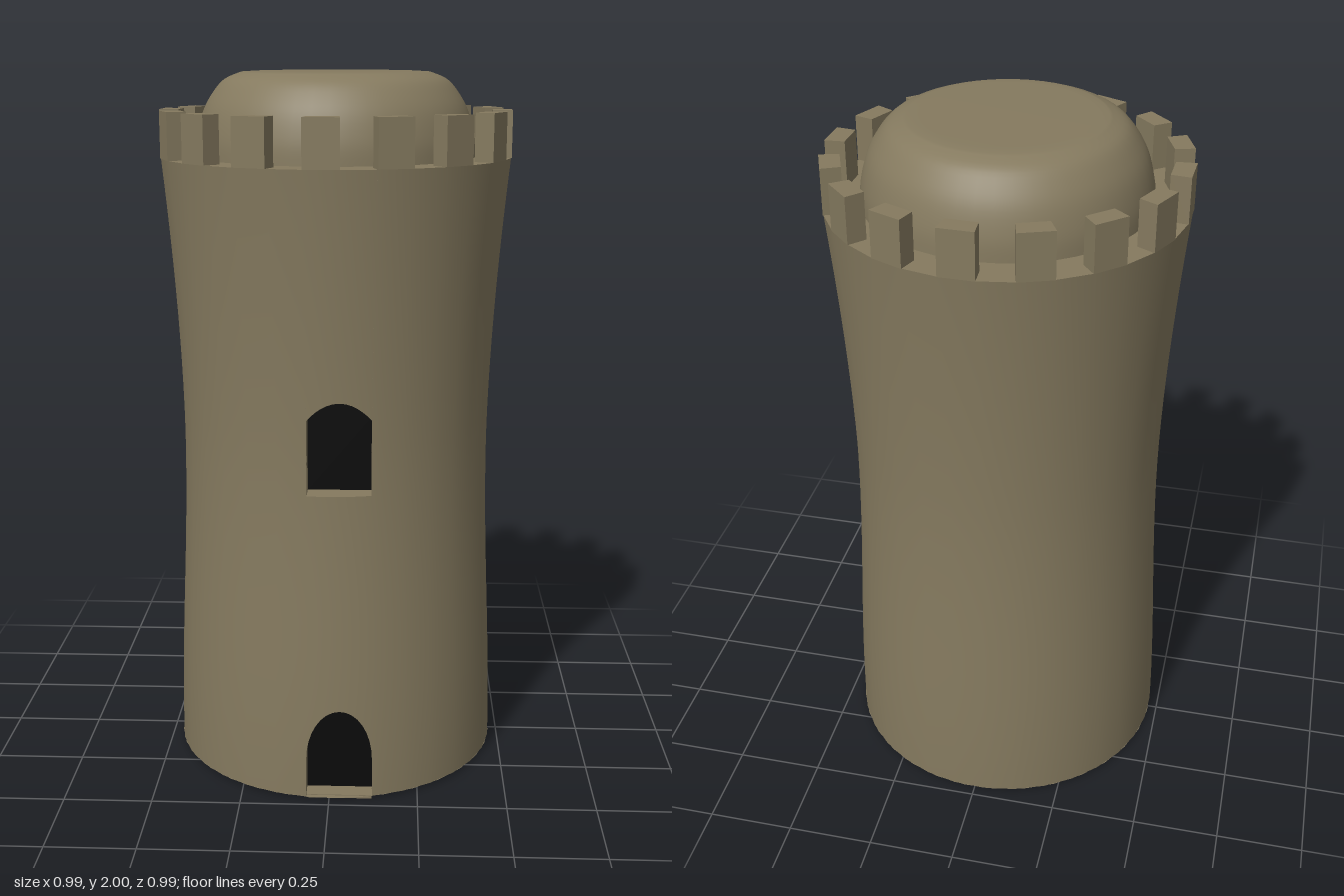
import * as THREE from 'three';

const SIDES = 32, STEP = (Math.PI * 2) / SIDES, TURN = -0.035;
const BASE = 0.008, DECK = 1.765;
const MID = 0.061, HALF = 0.197; // angular centre and half-width of the openings

// Waisted outline of the tower wall
function radius(y) {
  if (y < 0.95) return 0.461 + 0.014 * Math.cos((Math.PI * y) / 0.95);
  return 0.447 + 0.049 * Math.pow((y - 0.95) / 0.815, 1.7);
}
const onWall = (a, y) => [radius(y) * Math.sin(a), y, radius(y) * Math.cos(a)];

// Grid from rows of points; corners ordered so the front faces outward
function gridGeometry(columns, normals) {
  const pos = columns.flat(2), index = [], rows = columns[0].length;
  for (let i = 0; i < columns.length - 1; i++) {
    for (let j = 0; j < rows - 1; j++) {
      const a = i * rows + j, b = a + rows;
      index.push(a, b, b + 1, a, b + 1, a + 1);
    }
  }
  const g = new THREE.BufferGeometry();
  g.setAttribute('position', new THREE.Float32BufferAttribute(pos, 3));
  g.setIndex(index);
  if (!normals) {
    const flat = g.toNonIndexed();
    flat.computeVertexNormals();
    return flat;
  }
  g.setAttribute('normal', new THREE.Float32BufferAttribute(normals.flat(), 3));
  return g;
}

// Curved piece of wall between two heights that may vary with the angle
function wallGeometry(angles, low, high) {
  const rows = 24, normals = [];
  const columns = angles.map((a) => {
    const column = [];
    for (let j = 0; j <= rows; j++) {
      const y = THREE.MathUtils.lerp(low(a), high(a), j / rows);
      const slope = (radius(y + 0.005) - radius(y - 0.005)) / 0.01;
      const n = new THREE.Vector3(Math.sin(a), -slope, Math.cos(a)).normalize();
      column.push(onWall(a, y));
      normals.push(n.toArray());
    }
    return column;
  });
  return gridGeometry(columns, normals);
}

export function createModel() {
  const tower = new THREE.Group();
  tower.name = 'tower';
  const stone = new THREE.MeshStandardMaterial({ color: 0x857a5f, side: THREE.DoubleSide });
  stone.name = 'stone';
  const dark = new THREE.MeshStandardMaterial({ color: 0x0a0a0a });
  dark.name = 'dark opening';
  const add = (name, geometry, material = stone, parent = tower) => {
    const mesh = new THREE.Mesh(geometry, material);
    mesh.name = name;
    parent.add(mesh);
    return mesh;
  };

  // Arch heights across the openings
  const across = (a) => THREE.MathUtils.clamp((a - MID) / HALF, -1, 1);
  const doorTop = (a) => 0.12 + 0.15 * Math.sqrt(1 - across(a) ** 2);
  const windowTop = (a) => 1.1 + 0.05 * (1 - across(a) ** 2);
  const sill = 0.89;

  // Wall: the full round, then the pieces above the door and window
  const round = [MID + HALF];
  for (let k = 0; k <= SIDES * 2; k++) {
    const a = TURN + STEP * (k + 0.5);
    if (a > MID + HALF + 0.01 && a < MID - HALF + Math.PI * 2 - 0.01) round.push(a);
  }
  round.push(MID - HALF + Math.PI * 2);
  const gap = [];
  for (let i = 0; i <= 16; i++) gap.push(MID - HALF * Math.cos((i * Math.PI) / 16));
  const wall = new THREE.Group();
  wall.name = 'wall';
  tower.add(wall);
  add('roundWall', wallGeometry(round, () => BASE, () => DECK), stone, wall);
  add('wallAboveDoor', wallGeometry(gap, doorTop, () => sill), stone, wall);
  add('wallAboveWindow', wallGeometry(gap, windowTop, () => DECK), stone, wall);

  // Recessed openings: stone reveal and dark back panel
  const addOpening = (name, bottom, top, depthZ) => {
    const outline = [...gap.map((a) => [a, bottom]), ...gap.map((a) => [a, top(a)]).reverse()];
    const points = outline.map(([a, y]) => onWall(a, y));
    const loop = [...points, points[0]];
    add(name + 'Reveal', gridGeometry(loop.map((p) => [p, [p[0], p[1], depthZ]])));
    const shape = new THREE.Shape(points.map((p) => new THREE.Vector2(p[0], p[1])));
    add(name + 'Panel', new THREE.ShapeGeometry(shape), dark).position.z = depthZ;
  };
  addOpening('door', BASE, doorTop, 0.41);
  addOpening('window', sill, windowTop, 0.38);

  // Thin threshold under the door
  add('threshold', new THREE.BoxGeometry(0.185, 0.01, 0.05)).position.set(0.028, 0.005, 0.435);

  // Underside and parapet walk
  const underside = add('underside', new THREE.CircleGeometry(radius(BASE), SIDES, TURN + STEP / 2 - Math.PI / 2));
  underside.rotation.x = Math.PI / 2;
  underside.position.y = BASE;
  const deck = add('parapetWalk', new THREE.RingGeometry(0.37, 0.496, SIDES, 1, TURN + STEP / 2 - Math.PI / 2));
  deck.rotation.x = -Math.PI / 2;
  deck.position.y = DECK;

  // Sixteen merlons, one on every second side
  const corner = (r, s) => new THREE.Vector2(r * Math.cos(STEP / 2), s * r * Math.sin(STEP / 2));
  const plan = new THREE.Shape([corner(0.442, -1), corner(0.498, -1), corner(0.498, 1), corner(0.442, 1)]);
  const merlon = new THREE.ExtrudeGeometry(plan, { depth: 1.895 - DECK, bevelEnabled: false });
  merlon.rotateX(-Math.PI / 2);
  const battlements = new THREE.Group();
  battlements.name = 'battlements';
  tower.add(battlements);
  for (let k = 0; k < SIDES / 2; k++) {
    const m = add('merlon', merlon, stone, battlements);
    m.position.y = DECK;
    m.rotation.y = TURN - Math.PI / 2 + k * STEP * 2;
  }

  // Flat-topped dome roof
  const profile = new THREE.SplineCurve([
    [0.395, 1.76], [0.391, 1.82], [0.373, 1.89], [0.346, 1.94], [0.312, 1.978], [0.265, 1.998],
  ].map(([x, y]) => new THREE.Vector2(x, y))).getPoints(20);
  profile.push(new THREE.Vector2(0.23, 2), new THREE.Vector2(0, 2));
  add('domeRoof', new THREE.LatheGeometry(profile, 48));

  return tower;
}
